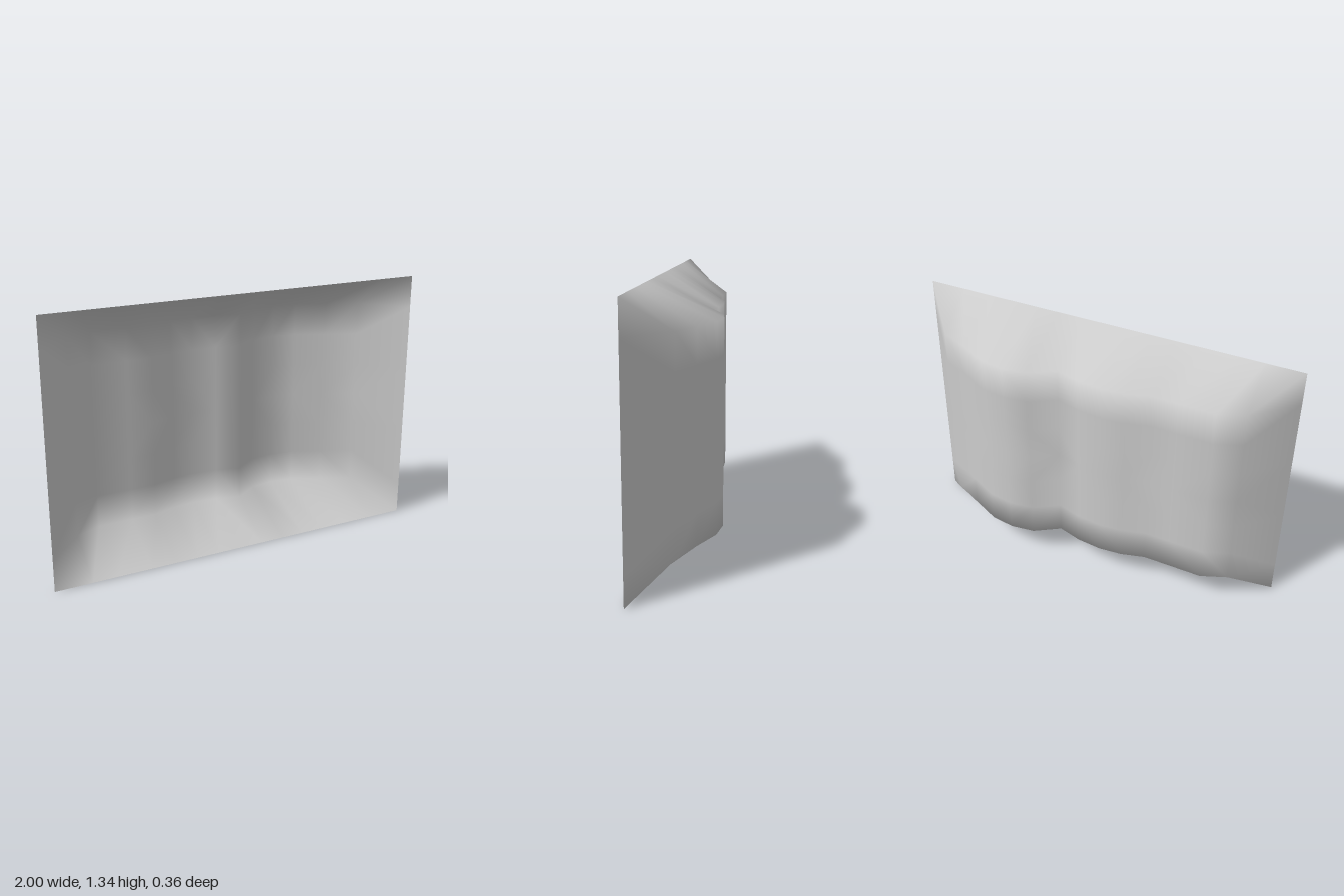
import * as THREE from 'three';

const RIM_Z = 0.178;

// Wavy cross-section of the panel as [x, z], from right edge to left edge
const PROFILE = [
  [-1, RIM_Z], [-0.81, -0.02], [-0.68, -0.075], [-0.5, -0.075], [-0.37, -0.075],
  [-0.25, -0.11], [-0.13, -0.122], [0, -0.11], [0.125, -0.075], [0.25, -0.16],
  [0.375, -0.178], [0.5, -0.16], [0.65, -0.09], [0.81, -0.02], [1, RIM_Z],
];
const ROWS = [0, 0.163, 0.33, 0.5, 0.667, 0.835, 1.005, 1.172, 1.335];

function createPanelGeometry() {
  const cols = PROFILE.length, rows = ROWS.length;
  const positions = [], index = [];

  // The first and last rows lie flat on the rim
  ROWS.forEach((y, r) => {
    const onRim = r === 0 || r === rows - 1;
    for (const [x, z] of PROFILE) positions.push(x, y, onRim ? RIM_Z : z);
  });

  for (let r = 0; r < rows - 1; r++) {
    for (let c = 0; c < cols - 1; c++) {
      const a = r * cols + c, b = a + 1, d = a + cols, e = d + 1;
      // Diagonals run out towards the nearest corner, giving mitred corners
      const rising = (c < (cols - 1) / 2) === (r < (rows - 1) / 2);
      if (rising) index.push(a, b, e, a, e, d);
      else index.push(a, b, d, b, e, d);
    }
  }

  const geometry = new THREE.BufferGeometry();
  geometry.setAttribute('position', new THREE.Float32BufferAttribute(positions, 3));
  geometry.setIndex(index);
  geometry.computeVertexNormals();
  return geometry;
}

export function createModel() {
  const group = new THREE.Group();
  group.name = 'wavyPanel';
  const material = new THREE.MeshStandardMaterial({ color: 0xcccccc, side: THREE.DoubleSide });
  const panel = new THREE.Mesh(createPanelGeometry(), material);
  panel.name = 'panelSurface';
  group.add(panel);
  return group;
}
